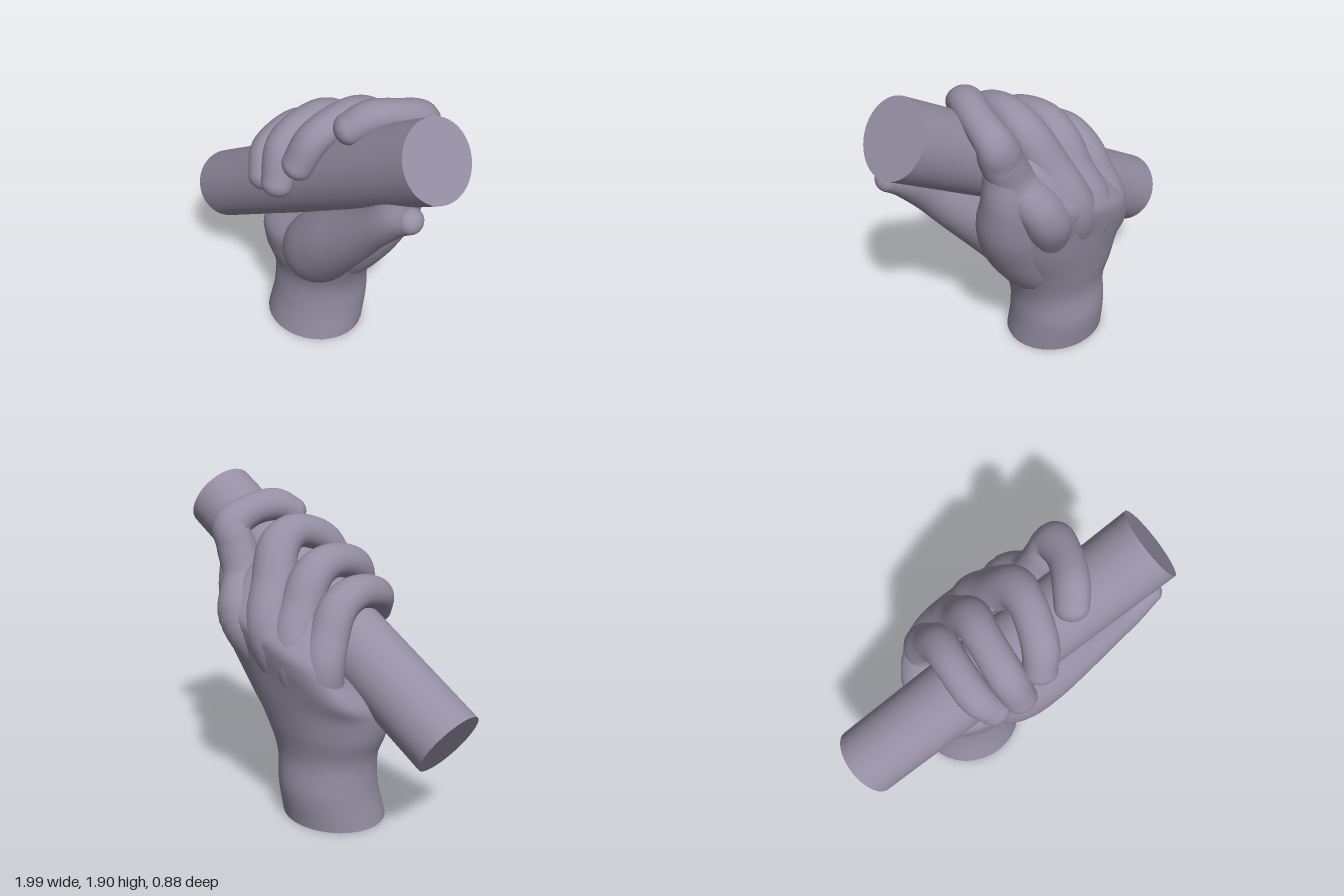
import * as THREE from 'three';

const V = (x, y, z) => new THREE.Vector3(x, y, z);
const SIDES = 32;
const skin = new THREE.MeshStandardMaterial({ color: 0x968ea3 });
const plain = new THREE.MeshStandardMaterial({ color: 0xcccccc });

// Bar axis, from its low right end to its high left end
const barLow = V(-0.883, 0.612, 0.083), barHigh = V(0.88, 1.726, 0.107);
const barDir = barHigh.clone().sub(barLow).normalize();

// Smooth skin over a list of rings, closed at the last ring
function loft(rings) {
  const position = [], index = [];
  rings.forEach(ring => ring.forEach(p => position.push(p.x, p.y, p.z)));
  for (let i = 0; i < rings.length - 1; i++) {
    for (let j = 0; j < SIDES; j++) {
      const a = i * SIDES + j, b = i * SIDES + (j + 1) % SIDES;
      index.push(a, a + SIDES, b, b, a + SIDES, b + SIDES);
    }
  }
  const last = rings[rings.length - 1], base = (rings.length - 1) * SIDES;
  const centre = last.reduce((sum, p) => sum.add(p), V(0, 0, 0)).divideScalar(SIDES);
  position.push(centre.x, centre.y, centre.z);
  for (let j = 0; j < SIDES; j++) index.push(base + j, base + SIDES, base + (j + 1) % SIDES);
  const geometry = new THREE.BufferGeometry();
  geometry.setAttribute('position', new THREE.Float32BufferAttribute(position, 3));
  geometry.setIndex(index);
  geometry.computeVertexNormals();
  return geometry;
}

const spline = points => new THREE.CatmullRomCurve3(points, false, 'catmullrom', 0.5);

// Round limb along [x, y, z, radius] points with a domed tip, widened along side
function limb(points, side, widen) {
  const path = spline(points.map(p => V(p[0], p[1], p[2])));
  const size = spline(points.map(p => V(p[3], 0, 0)));
  const rings = [];
  const addRing = (t, grow, shift) => {
    const r = size.getPoint(t).x, tangent = path.getTangent(t);
    const v = side.clone().addScaledVector(tangent, -side.dot(tangent)).normalize();
    const u = tangent.clone().cross(v);
    const c = path.getPoint(t).addScaledVector(tangent, r * shift);
    rings.push(Array.from({ length: SIDES }, (_, j) => {
      const a = j / SIDES * Math.PI * 2;
      return c.clone().addScaledVector(u, Math.cos(a) * r * grow)
        .addScaledVector(v, Math.sin(a) * r * grow * widen);
    }));
  };
  for (let i = 0; i <= 48; i++) addRing(i / 48, 1, 0);
  for (let k = 1; k <= 8; k++) {
    const a = k / 8 * Math.PI * 0.48;
    addRing(1, Math.cos(a), Math.sin(a) * 0.9);
  }
  return loft(rings);
}

// Wrist, palm and the flesh between the knuckles:
// [centre x, y, z, half width, half depth, slope toward the knuckles]
function palmRings() {
  const sections = [
    [-0.145, 0, 0, 0.315, 0.28, 0],
    [-0.13, 0.2, -0.035, 0.3, 0.272, 0],
    [-0.12, 0.4, -0.035, 0.308, 0.258, 0.02],
    [-0.1, 0.59, -0.03, 0.38, 0.3, 0.1],
    [-0.04, 0.78, -0.05, 0.46, 0.318, 0.22],
    [-0.02, 0.93, -0.165, 0.465, 0.23, 0.33],
    [0, 1.05, -0.26, 0.41, 0.16, 0.375],
    [0.01, 1.14, -0.295, 0.36, 0.127, 0.375],
    [0.01, 1.23, -0.255, 0.32, 0.105, 0.42],
    [0.01, 1.32, -0.195, 0.28, 0.085, 0.5],
    [0, 1.4, -0.135, 0.23, 0.06, 0.55]
  ];
  const centre = spline(sections.map(s => V(s[0], s[1], s[2])));
  const shape = spline(sections.map(s => V(s[3], s[4], s[5])));
  return Array.from({ length: 64 }, (_, i) => {
    const c = centre.getPoint(i / 63), s = shape.getPoint(i / 63);
    // oval at the wrist, squarer toward the knuckles
    const square = k => Math.sign(k) * Math.pow(Math.abs(k), 1 - 0.25 * i / 63);
    return Array.from({ length: SIDES }, (_, j) => {
      const a = j / SIDES * Math.PI * 2, x = square(Math.cos(a)) * s.x;
      return V(c.x + x, c.y + x * s.z, c.z + square(Math.sin(a)) * s.y);
    });
  });
}

// Each finger runs from inside the palm over its knuckle and around the bar
const fingers = {
  indexFinger: [[0.17, 0.95, -0.24, 0.12], [0.27, 1.17, -0.315, 0.125], [0.37, 1.36, -0.205, 0.113],
    [0.445, 1.53, -0.185, 0.108], [0.485, 1.645, -0.18, 0.1], [0.465, 1.715, -0.04, 0.088],
    [0.41, 1.735, 0.1, 0.09], [0.36, 1.685, 0.195, 0.083]],
  middleFinger: [[-0.01, 0.86, -0.24, 0.12], [0.06, 1.13, -0.315, 0.12], [0.13, 1.36, -0.205, 0.116],
    [0.19, 1.55, -0.1, 0.108], [0.19, 1.62, 0.05, 0.092], [0.155, 1.55, 0.24, 0.092],
    [0.115, 1.4, 0.325, 0.085]],
  ringFinger: [[-0.14, 0.8, -0.24, 0.12], [-0.11, 1.05, -0.3, 0.116], [-0.07, 1.25, -0.2, 0.112],
    [-0.06, 1.42, -0.1, 0.104], [-0.07, 1.485, 0.05, 0.092], [-0.06, 1.42, 0.27, 0.094],
    [-0.02, 1.225, 0.36, 0.086]],
  littleFinger: [[-0.27, 0.74, -0.21, 0.11], [-0.285, 0.97, -0.26, 0.112], [-0.265, 1.14, -0.19, 0.104],
    [-0.255, 1.28, -0.1, 0.098], [-0.26, 1.34, 0.05, 0.09], [-0.235, 1.29, 0.25, 0.09],
    [-0.165, 1.18, 0.335, 0.086]]
};

// Thumb with its fleshy base, pointing along the bar
const thumb = [[-0.13, 0.42, -0.04, 0.15], [-0.03, 0.58, 0.05, 0.193], [0.08, 0.73, 0.135, 0.215],
  [0.24, 0.89, 0.185, 0.188], [0.43, 1.065, 0.215, 0.146], [0.6, 1.23, 0.235, 0.11],
  [0.74, 1.362, 0.235, 0.095], [0.85, 1.42, 0.235, 0.068]];

// Web of flesh from the thumb base up the side of the index finger
const web = [[-0.02, 0.5, -0.04, 0.17], [0.09, 0.68, -0.05, 0.215], [0.23, 0.88, -0.07, 0.215],
  [0.345, 1.07, -0.125, 0.185], [0.41, 1.27, -0.175, 0.14], [0.445, 1.45, -0.18, 0.1]];

export function createModel() {
  const model = new THREE.Group();
  const hand = new THREE.Group();
  hand.name = 'hand';
  const add = (name, geometry, material = skin) => {
    const mesh = new THREE.Mesh(geometry, material);
    mesh.name = name;
    hand.add(mesh);
  };

  const rings = palmRings();
  add('wristAndPalm', loft(rings));
  add('wristCap', loft([[...rings[0]].reverse()]), plain);
  for (const [name, points] of Object.entries(fingers)) add(name, limb(points, barDir, 1.1));
  add('thumb', limb(thumb, V(0, 0, 1), 1.04));
  add('thumbWeb', limb(web, V(0, 0, 1), 1));

  // Round bar held in the fist
  const bar = new THREE.Mesh(
    new THREE.CylinderGeometry(0.21, 0.21, barLow.distanceTo(barHigh), 96), skin);
  bar.name = 'bar';
  bar.position.copy(barLow).lerp(barHigh, 0.5);
  bar.quaternion.setFromUnitVectors(V(0, 1, 0), barDir);

  model.add(hand, bar);
  return model;
}
